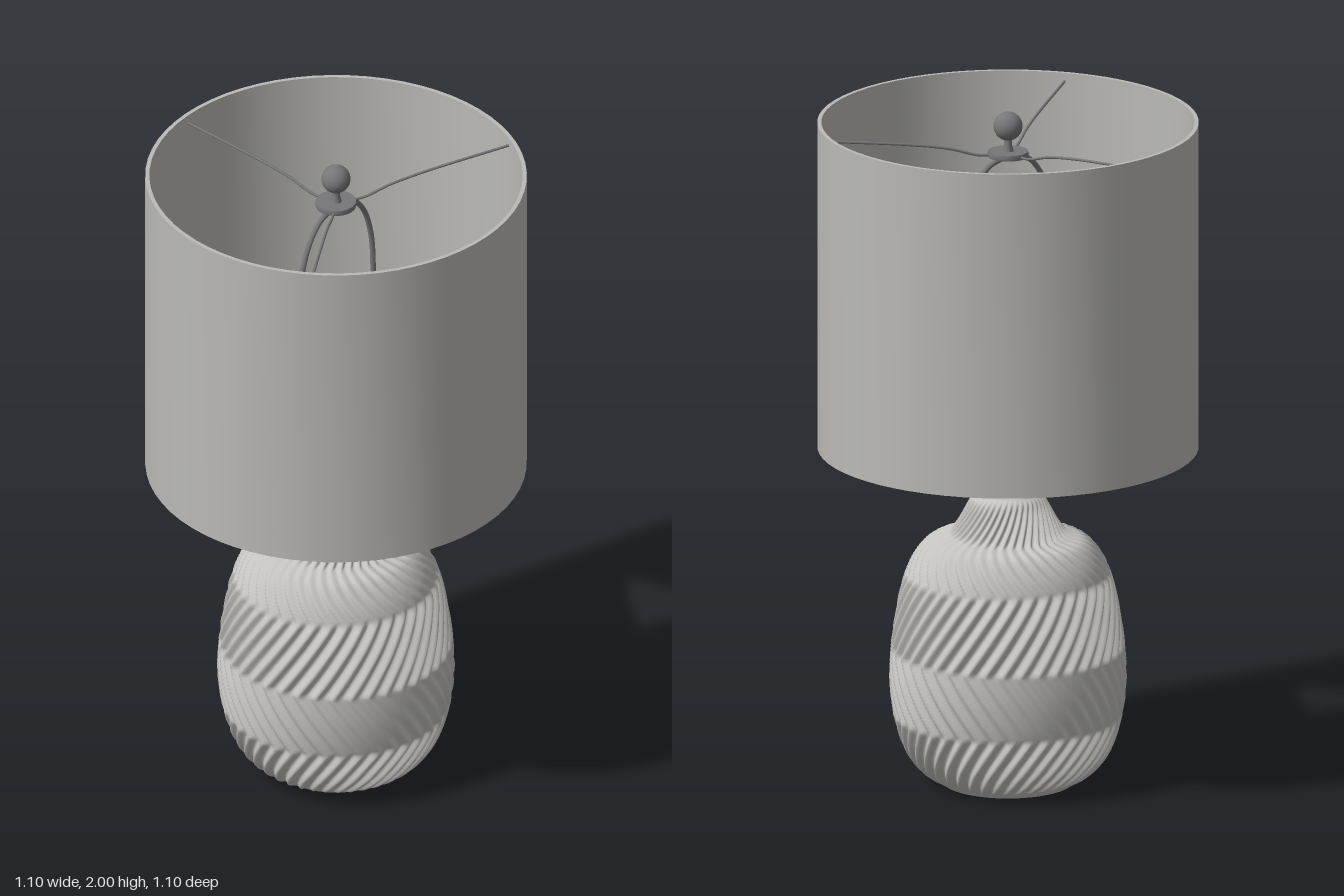
import * as THREE from 'three';
import { toCreasedNormals } from 'three/addons/utils/BufferGeometryUtils.js';

const V = (x, y, z = 0) => new THREE.Vector3(x, y, z);

// Piecewise-linear twist of the ridges: reverses at every band for a herringbone
const BANDS = [[0, 0], [0.2, 0.42], [0.4, 0], [0.62, 0.45], [0.74, 0.1], [0.87, 0.5]];
function twist(y) {
  for (let i = 1; i < BANDS.length; i++) {
    const [y0, a0] = BANDS[i - 1], [y1, a1] = BANDS[i];
    if (y <= y1) return a0 + (a1 - a0) * (y - y0) / (y1 - y0);
  }
  return BANDS[BANDS.length - 1][1];
}

// Ceramic body: a revolved profile with carved, slanted ridges
function ridgedBody() {
  const profile = new THREE.CatmullRomCurve3([
    [0.195, 0.005], [0.25, 0.045], [0.29, 0.1], [0.322, 0.2], [0.334, 0.3], [0.33, 0.4],
    [0.317, 0.5], [0.296, 0.6], [0.268, 0.67], [0.225, 0.72], [0.165, 0.745],
    [0.142, 0.775], [0.118, 0.82], [0.103, 0.85], [0.085, 0.862],
  ].map(([r, y]) => V(r, y)), false, 'centripetal');
  const ridges = 40, segs = ridges * 8, rows = 110;
  const pos = [], index = [];
  profile.getSpacedPoints(rows).forEach((p, j) => {
    const fade = Math.min(1, j / 4, (rows - j) / 6);
    const depth = 0.008 * fade * Math.min(1, p.x / 0.2);
    for (let i = 0; i < segs; i++) {
      const a = (i / segs) * Math.PI * 2;
      const r = p.x + depth * Math.cos(ridges * (a - twist(p.y)));
      pos.push(r * Math.sin(a), p.y, r * Math.cos(a));
    }
  });
  for (let j = 0; j < rows; j++) for (let i = 0; i < segs; i++) {
    const k = (i + 1) % segs, a = j * segs + i, b = j * segs + k;
    index.push(a, b, b + segs, a, b + segs, a + segs);
  }
  const g = new THREE.BufferGeometry();
  g.setAttribute('position', new THREE.Float32BufferAttribute(pos, 3));
  g.setIndex(index);
  g.computeVertexNormals();
  return g;
}

export function createModel() {
  const lamp = new THREE.Group();
  lamp.name = 'tableLamp';
  const material = (name, color) => {
    const m = new THREE.MeshStandardMaterial({ color });
    m.name = name;
    return m;
  };
  const ceramic = material('ceramic', 0xc4c3bf);
  const fabric = material('shadeFabric', 0xbab9b5);
  const metal = material('metal', 0x77777a);
  const glass = material('bulbGlass', 0xcfcecb);

  const add = (name, geometry, mat, parent = lamp) => {
    const m = new THREE.Mesh(geometry, mat);
    m.name = name;
    parent.add(m);
    return m;
  };
  const lathe = (points, segs = 48) => toCreasedNormals(
    new THREE.LatheGeometry(points.map(([r, y]) => new THREE.Vector2(r, y)), segs), 0.6);
  const tube = (points, radius, segs = 40) =>
    new THREE.TubeGeometry(new THREE.CatmullRomCurve3(points), segs, radius, 8);

  // Base
  add('body', ridgedBody(), ceramic);
  add('foot', lathe([[0, 0], [0.19, 0], [0.198, 0.008], [0, 0.008]]), ceramic);
  add('neckCap', lathe([[0.09, 0.858], [0.085, 0.863], [0, 0.863]]), ceramic);

  // Stem and socket
  add('stem', lathe([[0, 0.86], [0.062, 0.86], [0.064, 0.868], [0.062, 0.878], [0.056, 0.884],
    [0.056, 1.11], [0.05, 1.115], [0, 1.115]]), metal);

  // Bulb
  const bulbProfile = new THREE.CatmullRomCurve3([
    V(0.048, 1.11), V(0.055, 1.17), V(0.075, 1.25), V(0.096, 1.33),
    V(0.1, 1.39), V(0.083, 1.45), V(0.045, 1.485), V(0, 1.494)]);
  add('bulb', new THREE.LatheGeometry(
    bulbProfile.getPoints(28).map(p => new THREE.Vector2(Math.max(0, p.x), p.y)), 32), glass);

  // Harp: saddle, sleeves and the two bowed arms
  const harp = new THREE.Group();
  harp.name = 'harp';
  lamp.add(harp);
  for (const s of [1, -1]) {
    add('harpSaddle', tube([V(0.04 * s, 1.045), V(0.08 * s, 1.05), V(0.11 * s, 1.07),
      V(0.12 * s, 1.11)], 0.008, 16), metal, harp);
    const sleeve = add('harpSleeve', new THREE.CylinderGeometry(0.01, 0.014, 0.11, 16), metal, harp);
    sleeve.position.set(0.12 * s, 1.155, 0);
    add('harpArm', tube([V(0.12 * s, 1.2), V(0.145 * s, 1.3), V(0.17 * s, 1.43), V(0.175 * s, 1.56),
      V(0.165 * s, 1.69), V(0.13 * s, 1.79), V(0.075 * s, 1.85), V(0, 1.868)], 0.008), metal, harp);
  }

  // Shade with a thin wall
  add('shade', lathe([[0.537, 1.0], [0.549, 1.0], [0.549, 1.97], [0.537, 1.97], [0.537, 1.0]], 64), fabric);

  // Spider: hub and three wires to the shade
  const spider = new THREE.Group();
  spider.name = 'spider';
  lamp.add(spider);
  add('hub', lathe([[0, 1.868], [0.058, 1.868], [0.06, 1.875], [0.058, 1.884], [0, 1.884]], 32), metal, spider);
  for (let i = 0; i < 3; i++) {
    const wire = add('spiderWire', tube([V(0, 1.875, -0.04), V(0, 1.877, -0.09), V(0, 1.9, -0.17),
      V(0, 1.918, -0.28), V(0, 1.945, -0.54)], 0.004), metal, spider);
    wire.rotation.y = i * Math.PI * 2 / 3;
  }

  // Finial
  add('finialPost', lathe([[0, 1.88], [0.018, 1.88], [0.012, 1.9], [0.012, 1.93], [0, 1.93]], 20), metal);
  add('finialBall', new THREE.SphereGeometry(0.042, 28, 20), metal).position.y = 1.958;

  return lamp;
}
